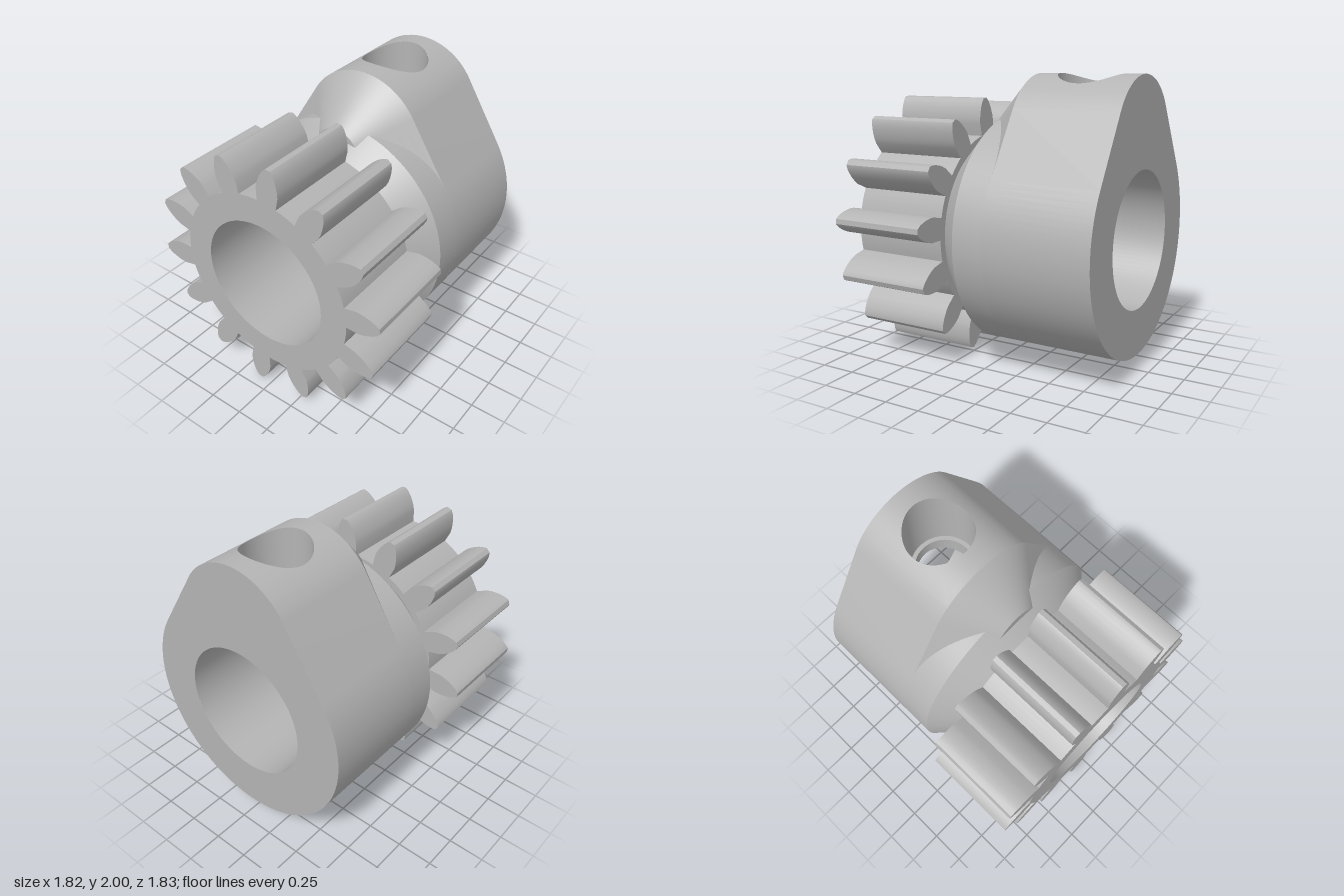
import * as THREE from 'three';
import { mergeGeometries, toCreasedNormals } from 'three/addons/utils/BufferGeometryUtils.js';

const CY = 0.915;                      // height of the shaft axis
const BORE = 0.47, HUB = 0.8;          // shaft bore and hub radii
const LOBE = 0.47, LY = 2 - LOBE;      // screw lobe radius and centre height
const T = Math.asin((HUB - LOBE) / (LY - CY)); // angle where the flats touch both arcs
const BACK = -0.915, STEP = -0.17, FRONT = 0.915;
const HOLE_Z = -0.547, PATCH = 0.3;    // screw hole position, half width of the pierced patch
const PI = Math.PI;

// points on an arc in the xy plane
function arc(cy, r, a0, a1, n) {
  return Array.from({ length: n + 1 }, (_, i) => {
    const a = a0 + (a1 - a0) * i / n;
    return new THREE.Vector2(r * Math.cos(a), cy + r * Math.sin(a));
  });
}
const at = (pts, z) => pts.map(p => new THREE.Vector3(p.x, p.y, z));

// surface through rows of points
function grid(rows) {
  const pos = [];
  for (let i = 0; i < rows.length - 1; i++)
    for (let j = 0; j < rows[i].length - 1; j++) {
      const a = rows[i][j], b = rows[i][j + 1], c = rows[i + 1][j + 1], d = rows[i + 1][j];
      for (const p of [a, b, c, a, c, d]) pos.push(p.x, p.y, p.z);
    }
  return new THREE.BufferGeometry().setAttribute('position', new THREE.Float32BufferAttribute(pos, 3));
}

function flat(shape, z) {
  const g = new THREE.ShapeGeometry(shape, 48).toNonIndexed();
  g.deleteAttribute('uv');
  g.deleteAttribute('normal');
  return g.translate(0, 0, z);
}

const topOf = (cy, r) => x => cy + Math.sqrt(r * r - x * x);
const lobeTop = topOf(LY, LOBE), boreTop = topOf(CY, BORE);

// rectangle outline in x and z that surrounds the screw hole
function outline() {
  const c = [[PATCH, BACK], [PATCH, STEP], [-PATCH, STEP], [-PATCH, BACK], [PATCH, BACK]];
  const pts = [], n = 18;
  for (let k = 0; k < 4; k++)
    for (let i = 0; i < n; i++)
      pts.push([0, 1].map(m => c[k][m] + (c[k + 1][m] - c[k][m]) * i / n));
  return [...pts, c[4]];
}

// curved patch pierced by a round hole
function piercedPatch(f, r, inward) {
  const edge = inward ? outline().reverse() : outline();
  const rows = [];
  for (let i = 0; i <= 6; i++)
    rows.push(edge.map(([x, z]) => {
      const len = Math.hypot(x, z - HOLE_Z), k = r / len, s = k + (1 - k) * i / 6;
      return new THREE.Vector3(x * s, f(x * s), HOLE_Z + (z - HOLE_Z) * s);
    }));
  return grid(rows);
}

// circle around the screw hole axis
function holeRing(r, f) {
  return Array.from({ length: 65 }, (_, i) => {
    const a = i / 64 * 2 * PI, x = r * Math.cos(a);
    return new THREE.Vector3(x, f(x), HOLE_Z + r * Math.sin(a));
  });
}

function boreHole() {
  return new THREE.Path(arc(CY, BORE, 0, 2 * PI, 96));
}

function hubGeometry() {
  const a = Math.acos(PATCH / LOBE);
  const around = [
    ...arc(LY, LOBE, PI - a, PI - T, 10),
    ...arc(CY, HUB, PI - T, 2 * PI + T, 80),
    ...arc(LY, LOBE, T, a, 10)
  ];
  const full = r => arc(CY, r, 0, 2 * PI, 96);
  const b = Math.acos(PATCH / BORE);
  const boreRest = arc(CY, BORE, PI - b, 2 * PI + b, 72);

  const back = new THREE.Shape([
    ...arc(LY, LOBE, T, PI - T, 40),
    ...arc(CY, HUB, PI - T, 2 * PI + T, 80)
  ]);
  back.holes.push(boreHole());
  const backFace = flat(back, 0).rotateY(PI).translate(0, 0, BACK);

  return mergeGeometries([
    grid([at(around, BACK), at(around, STEP)]),
    piercedPatch(lobeTop, 0.23, false),
    grid([at(full(HUB), STEP), at(full(HUB), 0.045), at(full(0.615), 0.23)]),
    grid([at(boreRest, STEP), at(boreRest, BACK)]),
    piercedPatch(boreTop, 0.2, true),
    grid([at(full(BORE), 0.23), at(full(BORE), STEP)]),
    backFace
  ]);
}

// bevelled front of the lobe: its outline shrinks by as much as it moves forward
function bevelGeometry() {
  const depth = 0.297, rows = [];
  const lobe = d => arc(LY, LOBE - d, T, PI - T, 40);
  for (let i = 0; i <= 6; i++) {
    const d = depth * i / 6;
    const [p, q] = arc(CY, HUB - d, T, PI - T, 1);
    rows.push(at([p, ...lobe(d), q], STEP + d));
  }
  const cap = new THREE.Shape([...lobe(depth), ...arc(CY, HUB - depth, PI - T, T, 24)]);
  return mergeGeometries([grid(rows), flat(cap, STEP + depth)]);
}

function gearGeometry() {
  const teeth = 14, pitch = 2 * PI / teeth;
  // one flank: radius and half angle in degrees
  const flank = [[0.665, 6.43], [0.755, 6.43], [0.79, 5.85], [0.825, 4.95],
    [0.86, 3.85], [0.89, 2.65], [0.91, 1.5], [0.915, 1.1]];
  const pts = [];
  const add = (r, a) => pts.push(new THREE.Vector2(r * Math.cos(a), CY + r * Math.sin(a)));
  for (let k = 0; k < teeth; k++) {
    const mid = (k + 0.25) * pitch;
    flank.forEach(([r, h]) => add(r, mid - h * PI / 180));
    [...flank].reverse().forEach(([r, h]) => add(r, mid + h * PI / 180));
    for (let i = 1; i < 4; i++) add(0.665, mid + pitch * (0.25 + 0.5 * i / 4));
  }
  const shape = new THREE.Shape(pts);
  shape.holes.push(boreHole());
  return new THREE.ExtrudeGeometry(shape, { depth: FRONT - 0.23, bevelEnabled: false })
    .translate(0, 0, 0.23);
}

export function createModel() {
  const steel = new THREE.MeshStandardMaterial({ color: 0xb4b4b4 });
  steel.name = 'grey metal';
  const model = new THREE.Group();
  model.name = 'pinion';

  const add = (name, geometry) => {
    const mesh = new THREE.Mesh(toCreasedNormals(geometry, 0.5), steel);
    mesh.name = name;
    model.add(mesh);
  };

  add('hub', hubGeometry());
  add('lobeBevel', bevelGeometry());
  // stepped screw hole, narrow next to the bore
  add('screwHole', grid([
    holeRing(0.2, boreTop), holeRing(0.2, () => 1.48),
    holeRing(0.23, () => 1.48), holeRing(0.23, lobeTop)
  ]));
  add('gearTeeth', gearGeometry());
  return model;
}
